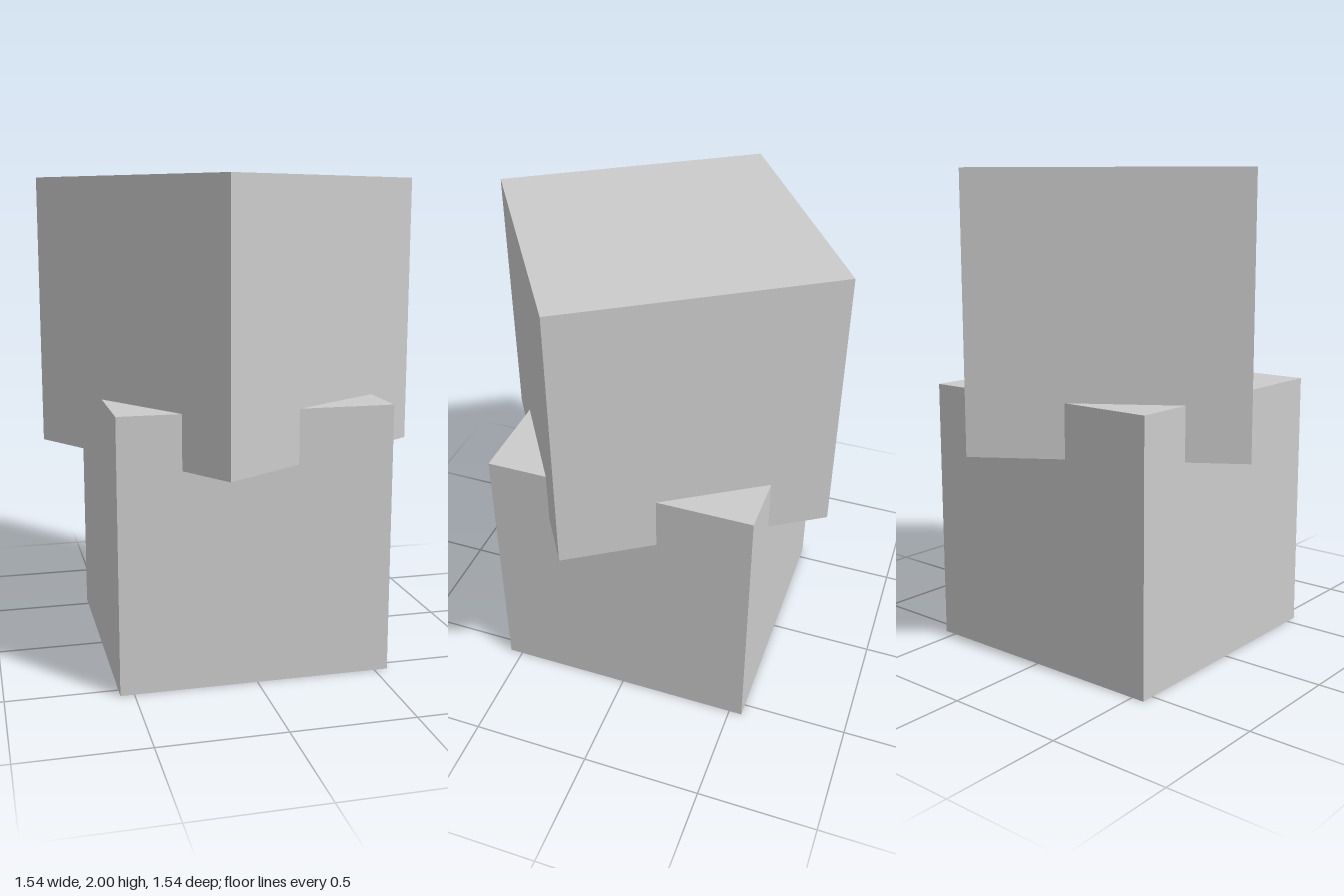
import * as THREE from 'three';

const SIDE = 1.111; // both cubes share one size
const TWIST = THREE.MathUtils.degToRad(32.9);

export function createModel() {
  const group = new THREE.Group();
  group.name = 'stackedCubes';
  const material = new THREE.MeshStandardMaterial({ color: 0xcccccc, flatShading: true });
  const geometry = new THREE.BoxGeometry(SIDE, SIDE, SIDE);

  const addCube = (name, bottom, turn) => {
    const cube = new THREE.Mesh(geometry, material);
    cube.name = name;
    cube.position.y = bottom + SIDE / 2;
    cube.rotation.y = turn;
    group.add(cube);
  };

  // Square base cube
  addCube('lowerCube', 0, 0);
  // Twisted cube sunk into the top of the base
  addCube('upperCube', 2 - SIDE, TWIST);

  return group;
}
